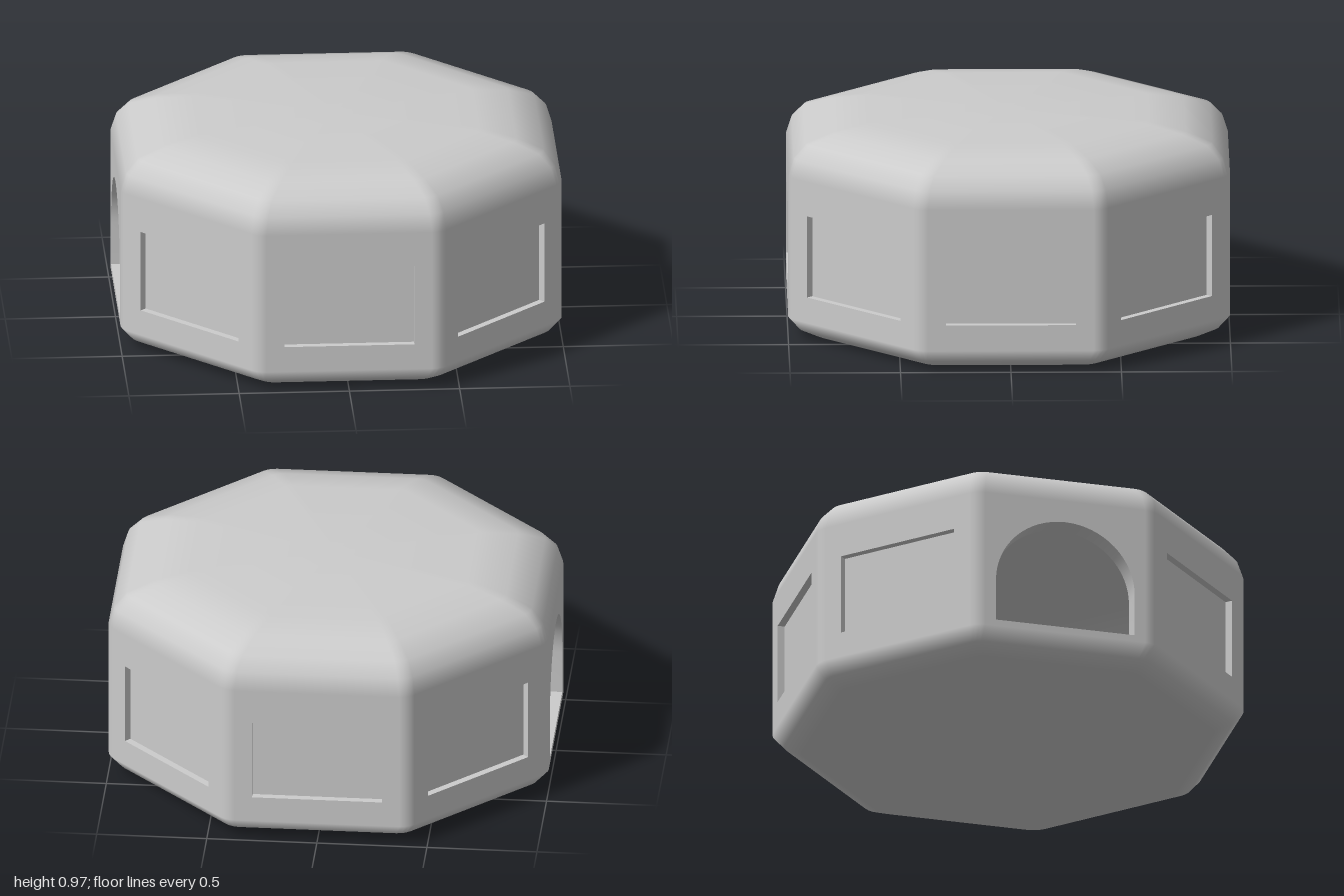
import * as THREE from 'three';
import { toCreasedNormals } from 'three/addons/utils/BufferGeometryUtils.js';

const SIDES = 8, ARC = 3, STEP = Math.PI / 4;
const R = 0.094;                                   // corner rounding for apothem 1
const HALF = (1 - R) * Math.tan(STEP / 2);         // half width of a flat side
const DOOR_SIDE = 6;                               // the -x side

const grey = new THREE.MeshStandardMaterial({ color: 0xcccccc });
const greyDouble = new THREE.MeshStandardMaterial({ color: 0xcccccc, side: THREE.DoubleSide });

// Rounded octagon of apothem 1: [x, z, normal angle]
function octagon() {
  const pts = [], c = (1 - R) / Math.cos(STEP / 2);
  for (let k = 0; k < SIDES; k++) {
    const mid = (k + 0.5) * STEP;
    for (let j = 0; j <= ARC; j++) {
      const t = (k + j / ARC) * STEP;
      pts.push([c * Math.sin(mid) + R * Math.sin(t), c * Math.cos(mid) + R * Math.cos(t), t]);
    }
  }
  return pts;
}

// Stack octagon rings [apothem, y, normal tilt in degrees]; the wall band keeps only its corners
function shell(rings, wallBand, inward) {
  const ring = octagon(), n = ring.length, pos = [], nor = [], idx = [];
  const sign = inward ? -1 : 1;
  for (const [a, y, deg] of rings) {
    const e = THREE.MathUtils.degToRad(deg);
    for (const [x, z, t] of ring) {
      pos.push(x * a, y, z * a);
      nor.push(sign * Math.sin(t) * Math.cos(e), sign * Math.sin(e), sign * Math.cos(t) * Math.cos(e));
    }
  }
  for (let i = 0; i < rings.length - 1; i++) {
    for (let p = 0; p < n; p++) {
      if (i === wallBand && p % (ARC + 1) === ARC) continue;
      const q = (p + 1) % n;
      const a = i * n + p, b = i * n + q, c = a + n, d = b + n;
      const tris = [];
      if (rings[i][0] > 0) tris.push([a, b, d]);
      if (rings[i + 1][0] > 0) tris.push([a, d, c]);
      else if (rings[i][0] > 0) tris[0] = [a, b, c];
      for (const t of tris) idx.push(...(inward ? t.reverse() : t));
    }
  }
  const g = new THREE.BufferGeometry();
  g.setAttribute('position', new THREE.Float32BufferAttribute(pos, 3));
  g.setAttribute('normal', new THREE.Float32BufferAttribute(nor, 3));
  g.setIndex(idx);
  return g;
}

// Flat wall rectangle with an optional opening
function wallPanel(apothem, y0, y1, hole) {
  const w = HALF * apothem;
  const s = new THREE.Shape();
  s.moveTo(-w, y0).lineTo(w, y0).lineTo(w, y1).lineTo(-w, y1).closePath();
  if (hole) s.holes.push(hole);
  return new THREE.ShapeGeometry(s, 16);
}

// Sides of an opening between two depths
function reveal(path, zOut, zIn) {
  const pts = path.getPoints(16), pos = [];
  for (let i = 0; i < pts.length; i++) {
    const a = pts[i], b = pts[(i + 1) % pts.length];
    if (a.distanceTo(b) < 1e-5) continue;
    pos.push(a.x, a.y, zOut, a.x, a.y, zIn, b.x, b.y, zIn);
    pos.push(a.x, a.y, zOut, b.x, b.y, zIn, b.x, b.y, zOut);
  }
  const g = new THREE.BufferGeometry();
  g.setAttribute('position', new THREE.Float32BufferAttribute(pos, 3));
  g.computeVertexNormals();
  return toCreasedNormals(g, 0.6);
}

function windowPath() {
  const p = new THREE.Path();
  p.moveTo(-0.295, 0.22).lineTo(0.295, 0.22).lineTo(0.295, 0.6).lineTo(-0.295, 0.6).closePath();
  return p;
}

function doorPath() {
  const p = new THREE.Path();
  p.moveTo(-0.325, 0.13).lineTo(0.325, 0.13).lineTo(0.325, 0.33);
  p.absarc(0, 0.33, 0.325, 0, Math.PI, false);
  p.closePath();
  return p;
}

export function createModel() {
  const model = new THREE.Group();
  model.name = 'octagonalHut';
  const add = (parent, name, geometry, material = grey) => {
    const m = new THREE.Mesh(geometry, material);
    m.name = name;
    parent.add(m);
    return m;
  };

  // Outer skin: base, rounded lower edge, corners, domed roof edge
  add(model, 'outerShell', shell([
    [0, 0, -90], [0.87, 0, -90], [0.95, 0.04, -45], [1, 0.1, 0], [1, 0.76, 0],
    [0.975, 0.84, 27], [0.92, 0.9, 50], [0.8, 0.94, 72], [0.63, 0.97, 86], [0, 0.97, 90],
  ], 3, false));

  // Hollow interior: floor, skirting, corners, ceiling
  add(model, 'innerShell', shell([
    [0, 0.09, -90], [0.84, 0.09, -90], [0.9, 0.12, 0], [0.9, 0.72, 0],
    [0.85, 0.8, 45], [0.6, 0.87, 86], [0, 0.87, 90],
  ], 2, true));

  for (let k = 0; k < SIDES; k++) {
    const isDoor = k === DOOR_SIDE;
    const side = new THREE.Group();
    side.name = isDoor ? 'doorWall' : 'windowWall';
    side.rotation.y = k * STEP;
    model.add(side);

    const path = isDoor ? doorPath() : windowPath();
    add(side, 'outerWall', wallPanel(1, 0.1, 0.76, path)).position.z = 1;

    // Inner wall faces the room
    const inner = add(side, 'innerWall', wallPanel(0.9, 0.12, 0.72, isDoor ? path : null));
    inner.rotation.y = Math.PI;
    inner.position.z = 0.9;

    if (isDoor) {
      add(side, 'doorJamb', reveal(path, 1, 0.9), greyDouble);
    } else {
      add(side, 'windowJamb', reveal(path, 1, 0.967), greyDouble);
      add(side, 'windowPane', new THREE.PlaneGeometry(0.59, 0.38)).position.set(0, 0.41, 0.967);
    }
  }
  return model;
}
